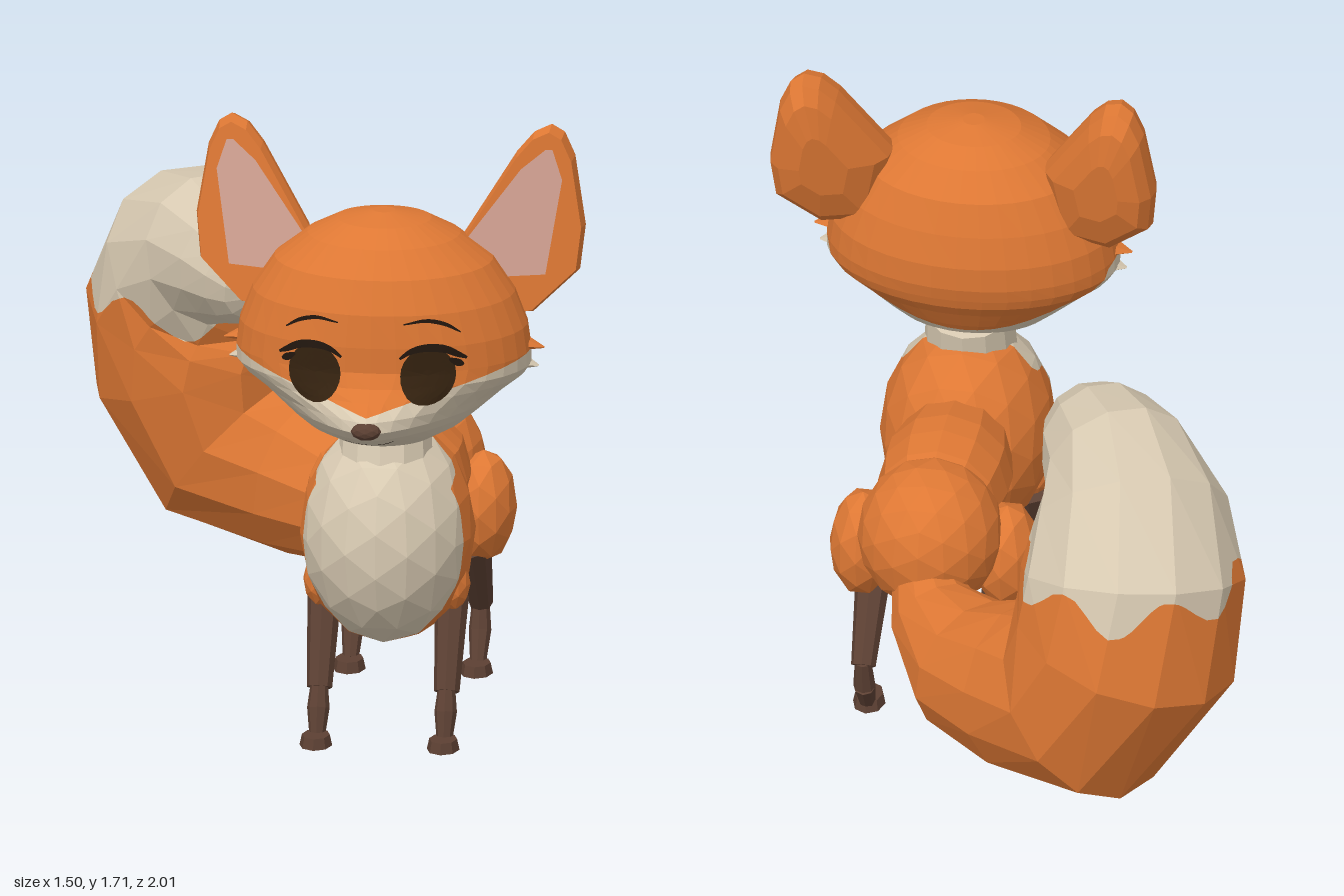
import * as THREE from 'three';

const paint = (name, color, extra = {}) => {
  const m = new THREE.MeshStandardMaterial({ color, flatShading: true, ...extra });
  m.name = name;
  return m;
};
const V = (x, y, z) => new THREE.Vector3(x, y, z);

// Skin closed rings of equal length (counter-clockwise about the direction of travel), with capped ends
function skin(rings) {
  const n = rings[0].length, pos = [], idx = [];
  const mid = r => r.reduce((a, p) => a.add(p), V(0, 0, 0)).divideScalar(n);
  [...rings.flat(), mid(rings[0]), mid(rings.at(-1))].forEach(p => pos.push(p.x, p.y, p.z));
  const last = (rings.length - 1) * n, c0 = rings.length * n;
  for (let j = 0; j < n; j++) {
    const k = (j + 1) % n;
    for (let i = 0; i < last; i += n) idx.push(i + j, i + k, i + n + j, i + k, i + n + k, i + n + j);
    idx.push(c0, k, j, c0 + 1, last + j, last + k);
  }
  return finish(pos, idx);
}

function finish(pos, idx) {
  const g = new THREE.BufferGeometry();
  g.setAttribute('position', new THREE.Float32BufferAttribute(pos, 3));
  if (idx) g.setIndex(idx);
  g.computeVertexNormals();
  return g;
}

// Cut a geometry along field(p) = 0: group 0 is the positive side, group 1 the negative.
// Each face is first quartered "splits" times so that a ragged edge is followed closely.
function twoTone(geo, field, splits = 0) {
  const g = geo.index ? geo.toNonIndexed() : geo, p = g.attributes.position;
  const sides = [[], []];
  const cut = (tri, depth) => {
    const [a, b, c] = tri;
    if (depth) {
      const [ab, bc, ca] = [[a, b], [b, c], [c, a]].map(([u, v]) => u.clone().lerp(v, 0.5));
      [[a, ab, ca], [ab, b, bc], [ca, bc, c], [ab, bc, ca]].forEach(t => cut(t, depth - 1));
      return;
    }
    const f = tri.map(field);
    [1, -1].forEach((sign, side) => {
      const poly = [];
      for (let k = 0; k < 3; k++) {
        const m = (k + 1) % 3;
        if (f[k] * sign >= 0) poly.push(tri[k]);
        if (f[k] * f[m] < 0) poly.push(tri[k].clone().lerp(tri[m], f[k] / (f[k] - f[m])));
      }
      for (let k = 1; k < poly.length - 1; k++)
        [poly[0], poly[k], poly[k + 1]].forEach(v => sides[side].push(v.x, v.y, v.z));
    });
  };
  for (let i = 0; i < p.count; i += 3) cut([0, 1, 2].map(k => V().fromBufferAttribute(p, i + k)), splits);
  const out = finish(sides.flat());
  out.addGroup(0, sides[0].length / 3, 0);
  out.addGroup(sides[0].length / 3, sides[1].length / 3, 1);
  return out;
}

function mirrored(geo) {
  const g = geo.clone().scale(-1, 1, 1), ix = g.index.array;
  for (let i = 0; i < ix.length; i += 3) [ix[i], ix[i + 1]] = [ix[i + 1], ix[i]];
  g.computeVertexNormals();
  return g;
}

// Head levels, bottom to top: y, half width, front z, back z, roundness
const HEAD_Z = 0.57;
const LEVELS = [
  [0.84, 0.04, 0.62, 0.53, 2], [0.87, 0.14, 0.72, 0.47, 2], [0.91, 0.215, 0.83, 0.41, 1.7],
  [0.95, 0.265, 0.95, 0.38, 1.45], [0.98, 0.3, 0.99, 0.36, 1.4], [1.01, 0.335, 0.98, 0.34, 1.4],
  [1.05, 0.385, 0.925, 0.31, 1.6], [1.08, 0.405, 0.89, 0.3, 1.85], [1.12, 0.405, 0.87, 0.29, 2],
  [1.19, 0.395, 0.87, 0.29, 2], [1.28, 0.36, 0.86, 0.31, 2], [1.37, 0.3, 0.825, 0.34, 2],
  [1.44, 0.21, 0.765, 0.4, 2], [1.48, 0.13, 0.69, 0.46, 2], [1.5, 0.03, 0.6, 0.54, 2],
];

// Depth of the face surface at a point seen from the front
function faceZ(x, y) {
  const i = Math.max(1, LEVELS.findIndex(l => l[0] >= y)), a = LEVELS[i - 1], b = LEVELS[i];
  const t = (y - a[0]) / (b[0] - a[0]), [, w, zf, , n] = a.map((v, k) => v + (b[k] - v) * t);
  return HEAD_Z + (zf - HEAD_Z) * Math.pow(Math.max(0, 1 - Math.pow(Math.abs(x) / w, n)), 1 / n);
}

// Thin tapered line laid on the face
function faceLine(points, width, s, lift = 0.01) {
  const curve = new THREE.CatmullRomCurve3(points.map(([x, y]) => V(x, y, 0)));
  const N = 14, pos = [], idx = [];
  for (let i = 0; i <= N; i++) {
    const p = curve.getPoint(i / N), t = curve.getTangent(i / N);
    const h = width * (0.15 + 0.35 * Math.sin(Math.PI * i / N));
    for (const d of [h, -h]) {
      const x = s * (p.x - t.y * d), y = p.y + t.x * d;
      pos.push(x, y, faceZ(x, y) + lift);
    }
    if (i) idx.push(2 * i - 2, 2 * i - 1, 2 * i, 2 * i - 1, 2 * i + 1, 2 * i);
  }
  return finish(pos, idx);
}

export function createModel() {
  const orange = paint('orange fur', 0xde7834), cream = paint('cream fur', 0xd8cab2);
  const pink = paint('ear pink', 0xd4a394, { side: THREE.DoubleSide });
  const brown = paint('leg brown', 0x5c4033);
  const dark = paint('eye brown', 0x33210f, { side: THREE.DoubleSide });
  const black = paint('lash dark', 0x21160e, { side: THREE.DoubleSide });
  const root = new THREE.Group(), fox = new THREE.Group();
  root.name = 'model';
  fox.name = 'fox';
  fox.position.x = 0.21;
  root.add(fox);

  const add = (name, geo, mat) => {
    const m = new THREE.Mesh(geo, mat);
    m.name = name;
    fox.add(m);
  };
  const blob = (c, r, detail = 1) => new THREE.IcosahedronGeometry(1, detail).scale(...r).translate(...c);
  const limb = (a, b, ra, rb, sides = 8) => {
    const A = V(...a), B = V(...b), d = B.clone().sub(A);
    const g = new THREE.CylinderGeometry(rb, ra, d.length(), sides);
    g.applyQuaternion(new THREE.Quaternion().setFromUnitVectors(V(0, 1, 0), d.normalize()));
    return g.translate(...A.add(B).multiplyScalar(0.5).toArray());
  };

  // Torso
  add('chest', twoTone(blob([0, 0.565, 0.485], [0.24, 0.312, 0.287], 2),
    p => 0.585 - Math.min(0.1, Math.max(0, p.y - 0.72) * 3) - p.z, 2), [orange, cream]);
  const waist = [[0.14, -0.08], [0.168, 0], [0.18, 0.09], [0.18, 0.17], [0.155, 0.29]];
  add('waist', new THREE.LatheGeometry(waist.map(p => new THREE.Vector2(...p)), 12)
    .rotateX(Math.PI / 2).translate(0, 0.615, 0), orange);
  add('hips', blob([0, 0.585, -0.105], [0.2, 0.21, 0.208], 2), orange);
  add('neck', limb([0, 0.77, 0.54], [0, 0.93, 0.505], 0.13, 0.122, 12), cream);

  // Legs
  for (const s of [1, -1]) {
    const x = s * 0.175;
    const paw = z => new THREE.CylinderGeometry(0.85, 1, 0.03, 8).scale(0.045, 1, 0.062).translate(x, 0.015, z);
    add('thigh', blob([s * 0.2, 0.49, -0.03], [0.092, 0.158, 0.124]), orange);
    add('shoulder', blob([x, 0.425, 0.505], [0.055, 0.08, 0.06]), orange);
    add('frontUpperLeg', limb([x, 0.38, 0.475], [x, 0.14, 0.59], 0.047, 0.035), brown);
    add('frontLowerLeg', limb([x, 0.15, 0.595], [x, 0.09, 0.615], 0.024, 0.031), brown);
    add('frontAnkle', limb([x, 0.09, 0.615], [x, 0.02, 0.64], 0.031, 0.022), brown);
    add('frontPaw', paw(0.67), brown);
    add('hindUpperLeg', limb([x, 0.39, 0], [x, 0.175, -0.168], 0.05, 0.034), brown);
    add('hindLowerLeg', limb([x, 0.19, -0.17], [x, 0.1, -0.15], 0.023, 0.031), brown);
    add('hindAnkle', limb([x, 0.1, -0.15], [x, 0.02, -0.105], 0.031, 0.022), brown);
    add('hindPaw', paw(-0.075), brown);
  }

  // Tail: centre x, y, z and radius along its sweep
  const sweep = [[0, 0.5, -0.2, 0.09], [-0.04, 0.445, -0.29, 0.125], [-0.17, 0.385, -0.43, 0.195],
    [-0.34, 0.415, -0.555, 0.24], [-0.53, 0.465, -0.665, 0.295], [-0.645, 0.69, -0.69, 0.32],
    [-0.66, 0.88, -0.66, 0.31], [-0.635, 1.015, -0.565, 0.27], [-0.58, 1.075, -0.43, 0.21],
    [-0.51, 1.07, -0.31, 0.175], [-0.465, 1.05, -0.22, 0.135], [-0.445, 1.035, -0.17, 0.09],
    [-0.435, 1.03, -0.15, 0.03]];
  const centres = sweep.map(p => V(p[0], p[1], p[2]));
  let side = V(0, 1, 0);
  const tailRings = centres.map((c, i) => {
    const t = centres[Math.min(i + 1, centres.length - 1)].clone().sub(centres[Math.max(i - 1, 0)]).normalize();
    side = side.clone().addScaledVector(t, -side.dot(t)).normalize();
    const up = t.clone().cross(side);
    return Array.from({ length: 12 }, (_, j) => {
      const a = j / 12 * Math.PI * 2;
      return c.clone().addScaledVector(side, sweep[i][3] * Math.cos(a)).addScaledVector(up, sweep[i][3] * Math.sin(a));
    });
  });
  add('tail', twoTone(skin(tailRings), p => 0.905 + 0.05 * Math.cos(6 * Math.atan2(p.z + 0.67, p.x + 0.66))
    - Math.max(0, p.z + 0.45) * 0.6 - p.y, 2), [orange, cream]);

  // Head with cream muzzle and cheeks
  const pow = (v, e) => Math.sign(v) * Math.pow(Math.abs(v), e);
  const headRings = LEVELS.map(([y, w, zf, zb, n]) => Array.from({ length: 36 }, (_, j) => {
    const a = j / 36 * Math.PI * 2, c = Math.cos(a), e = c > 0 ? 2 / n : 1;
    return V(w * pow(Math.sin(a), e), y, HEAD_Z + (c > 0 ? zf - HEAD_Z : HEAD_Z - zb) * pow(c, e));
  }));
  add('head', twoTone(skin(headRings), p => Math.max(p.y - 1.02 - 0.25 * Math.abs(p.x),
    0.39 + 0.5 * (p.y - 0.91) - p.z)), [orange, cream]);
  add('nose', blob([0, 0.985, 0.972], [0.042, 0.026, 0.028]), brown);
  add('mouth', faceLine([[-0.07, 0.944], [-0.04, 0.925], [0, 0.917], [0.04, 0.925], [0.07, 0.944]], 0.006, 1, 0.02), black);

  // Ears: domed behind, flat in front
  const earOutline = [[0.25, 1.2], [0.4, 1.2], [0.522, 1.31], [0.535, 1.43], [0.504, 1.62],
    [0.475, 1.685], [0.44, 1.708], [0.395, 1.69], [0.35, 1.64], [0.21, 1.42]];
  const earFront = (x, y) => 0.48 + (1.55 - y) * 0.15 - (x - 0.37) * 0.3;
  const ear = skin([[0.4, 0.15], [0.78, 0.125], [0.95, 0.085], [1, 0.04], [0.95, 0]].map(([k, depth]) =>
    earOutline.map(([ox, oy]) => {
      const x = 0.38 + (ox - 0.38) * k, y = 1.44 + (oy - 1.44) * k;
      return V(x, y, earFront(x, y) - depth);
    })));
  const inner = [[0.25, 1.31], [0.435, 1.31], [0.475, 1.565], [0.448, 1.648], [0.43, 1.65], [0.365, 1.6], [0.226, 1.42]];
  const innerEar = new THREE.ShapeGeometry(new THREE.Shape(inner.map(p => new THREE.Vector2(...p))));
  const ip = innerEar.attributes.position;
  for (let i = 0; i < ip.count; i++) ip.setZ(i, earFront(ip.getX(i), ip.getY(i)) + 0.005);
  innerEar.computeVertexNormals();

  // Flat cheek spike, wide from front to back
  const tuft = (s, y, tipX, tipY) => limb([s * 0.36, y, 0], [s * tipX, tipY, 0], 0.026, 0.002, 6)
    .scale(1, 1, 2.4).translate(0, 0, 0.565);

  for (const s of [1, -1]) {
    const hand = g => (s > 0 ? g : mirrored(g));
    add('ear', hand(ear), orange);
    add('innerEar', hand(innerEar), pink);
    add('cheekTuft', tuft(s, 1.14, 0.44, 1.122), orange);
    add('lowerCheekTuft', tuft(s, 1.085, 0.425, 1.07), cream);
    // Eye disc, lashes and brow laid on the face
    const eye = new THREE.RingGeometry(0.001, 1, 24, 5).scale(0.074, 0.078, 1).translate(s * 0.156, 1.116, 0);
    const ep = eye.attributes.position;
    for (let i = 0; i < ep.count; i++) ep.setZ(i, faceZ(ep.getX(i), ep.getY(i)) + 0.008);
    eye.computeVertexNormals();
    add('eye', eye, dark);
    add('upperLash', faceLine([[0.258, 1.158], [0.235, 1.17], [0.2, 1.188], [0.15, 1.194], [0.11, 1.185], [0.08, 1.165]], 0.022, s), black);
    add('outerLash', faceLine([[0.25, 1.14], [0.235, 1.147], [0.212, 1.16]], 0.02, s), black);
    add('brow', faceLine([[0.24, 1.23], [0.2, 1.255], [0.15, 1.268], [0.09, 1.26]], 0.011, s), black);
  }
  return root;
}
